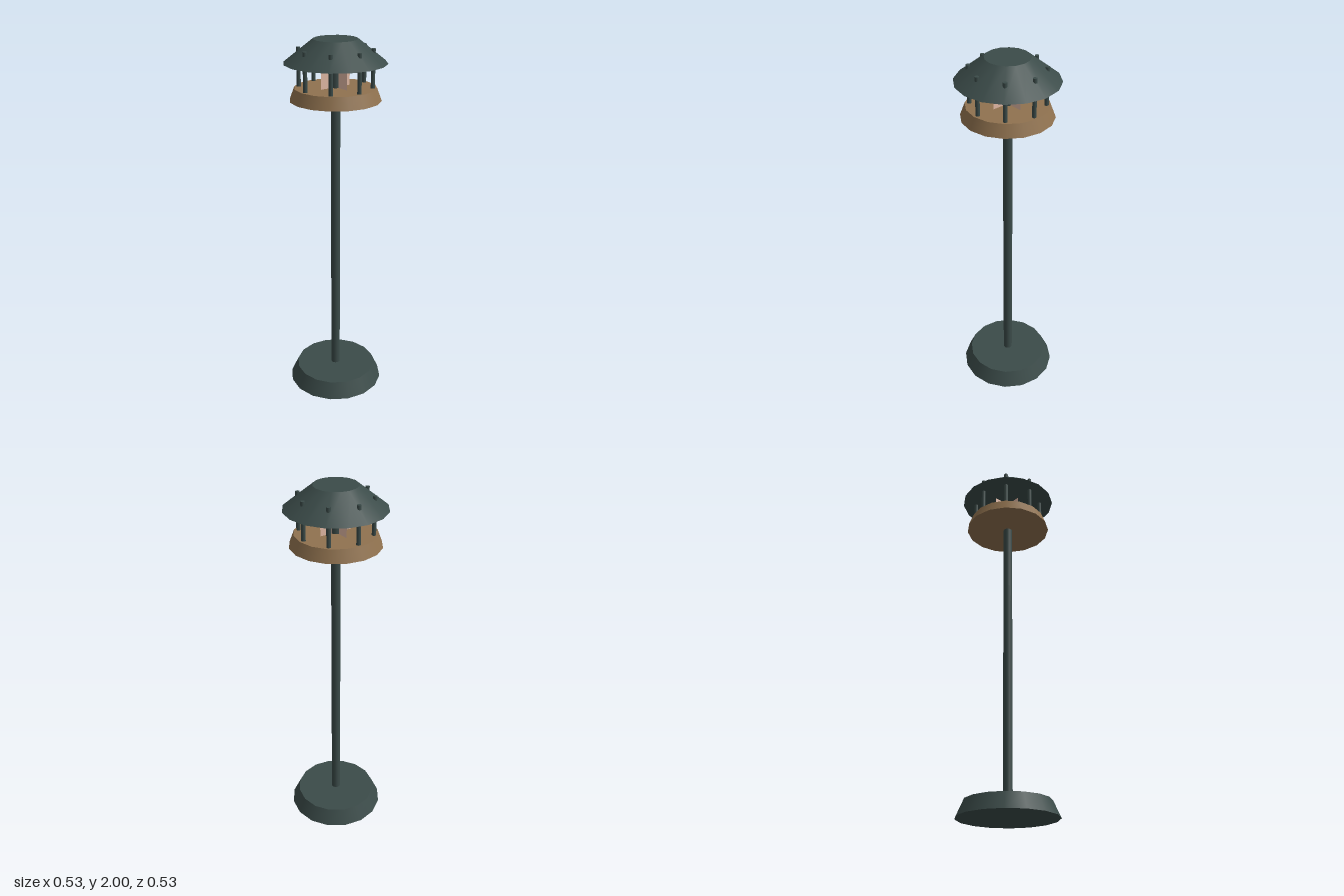
import * as THREE from 'three';

export function createModel() {
  const group = new THREE.Group();
  const paint = (name, color, side = THREE.FrontSide) => {
    const m = new THREE.MeshStandardMaterial({ color, side });
    m.name = name;
    return m;
  };
  const iron = paint('dark green iron', 0x3b4b49);
  const wood = paint('brown collar', 0x90724f);
  const glow = paint('pale pink glow', 0xe0b8a4, THREE.DoubleSide);

  const add = (name, geometry, material) => {
    const mesh = new THREE.Mesh(geometry, material);
    mesh.name = name;
    group.add(mesh);
    return mesh;
  };
  // Upright round part between two heights
  const round = (name, rTop, rBottom, y0, y1, sides, material) => {
    const mesh = add(name, new THREE.CylinderGeometry(rTop, rBottom, y1 - y0, sides), material);
    mesh.position.y = (y0 + y1) / 2;
    return mesh;
  };

  // Foot, post, lamp tray and roof
  round('base', 0.227, 0.267, 0, 0.088, 16, iron);
  round('post', 0.025, 0.025, 0.04, 1.84, 16, iron);
  round('lampTray', 0.214, 0.239, 1.69, 1.755, 16, wood);
  round('roof', 0.115, 0.267, 1.88, 2, 16, iron);

  // Ring of rods that carry the roof and poke through it
  for (let i = 0; i < 8; i++) {
    const a = (i * Math.PI) / 4;
    const rod = round('roofRod', 0.011, 0.011, 1.74, 1.955, 12, iron);
    rod.position.x = Math.sin(a) * 0.191;
    rod.position.z = Math.cos(a) * 0.191;
  }

  // Two crossed panes of light around the post
  for (let i = 0; i < 2; i++) {
    const pane = add('lightPane', new THREE.PlaneGeometry(0.186, 0.125), glow);
    pane.position.y = 1.8175;
    pane.rotation.y = (i * Math.PI) / 2;
  }
  return group;
}
